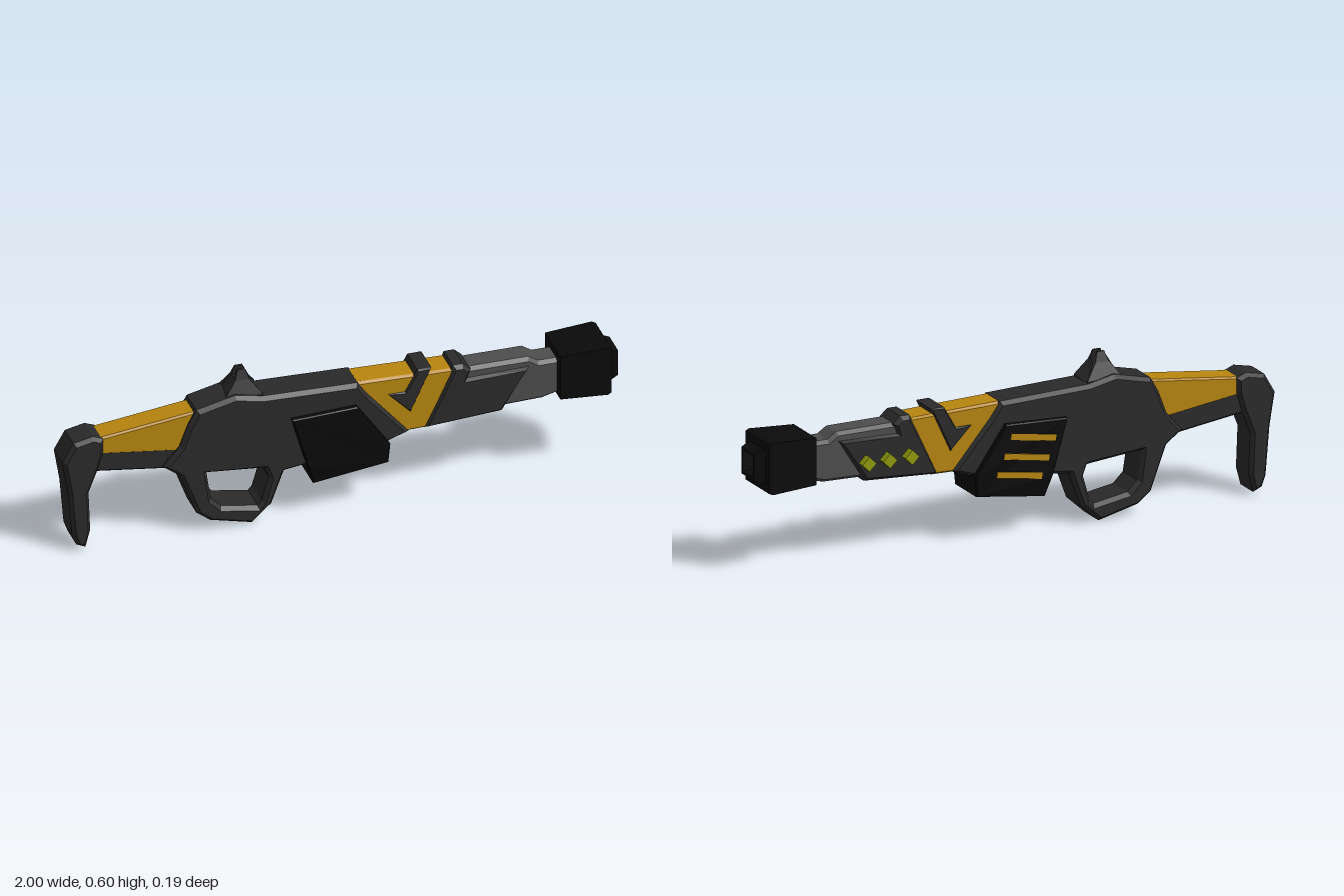
import * as THREE from 'three';

const mat = (color) => new THREE.MeshStandardMaterial({ color, flatShading: true });

// Side outline (x, y) made into a slab centred on z = 0 with chamfered rims
function slabGeometry(points, half, bevel, hole) {
  const toVec = ([x, y]) => new THREE.Vector2(x, y);
  const shape = new THREE.Shape(points.map(toVec));
  if (hole) shape.holes.push(new THREE.Path(hole.map(toVec)));
  const thick = bevel * 1.3;
  const geo = new THREE.ExtrudeGeometry(shape, {
    depth: 2 * (half - thick), bevelEnabled: bevel > 0, bevelSegments: 1,
    bevelThickness: thick, bevelSize: bevel, bevelOffset: -bevel,
  });
  return geo.translate(0, 0, thick - half);
}

export function createModel() {
  const model = new THREE.Group();
  model.name = 'rifle';
  const dark = mat(0x2a2a2a), black = mat(0x0a0a0a), gold = mat(0xb8860f);
  const grey = mat(0x4d4d4d), lime = mat(0x8f9a0c);

  const add = (name, geo, material) => {
    const mesh = new THREE.Mesh(geo, material);
    mesh.name = name;
    model.add(mesh);
    return mesh;
  };
  const slab = (name, material, half, bevel, points, hole) =>
    add(name, slabGeometry(points, half, bevel, hole), material);

  // Shoulder stock
  slab('buttPad', dark, 0.063, 0.012, [
    [-1, 0.36], [-0.98, 0.24], [-0.965, 0.065], [-0.95, 0.025], [-0.917, 0.01], [-0.9, 0.075],
    [-0.906, 0.225], [-0.875, 0.305], [-0.853, 0.38], [-0.853, 0.43], [-0.89, 0.445], [-0.96, 0.43]]);
  slab('stockCover', gold, 0.048, 0.006, [
    [-0.88, 0.37], [-0.55, 0.325], [-0.5, 0.36], [-0.5, 0.477], [-0.88, 0.43]]);
  slab('stockBar', dark, 0.046, 0.008, [
    [-0.89, 0.3], [-0.6, 0.26], [-0.55, 0.34], [-0.89, 0.39]]);

  // Receiver with the grip loop
  slab('receiver', dark, 0.07, 0.013, [
    [-0.64, 0.28], [-0.58, 0.235], [-0.52, 0.075], [-0.47, 0.037], [-0.32, 0], [-0.25, 0.064],
    [-0.205, 0.187], [0.17, 0.235], [0.245, 0.262], [0.1, 0.433], [0.06, 0.487], [-0.28, 0.497],
    [-0.38, 0.518], [-0.52, 0.485], [-0.55, 0.43], [-0.58, 0.35]],
  [[-0.484, 0.23], [-0.468, 0.123], [-0.43, 0.086], [-0.3, 0.064], [-0.286, 0.08],
    [-0.26, 0.17], [-0.275, 0.21]]);

  // Magazine block, its sides drawn in towards the bottom
  const magazine = slabGeometry([
    [-0.185, 0.4], [-0.157, 0.3], [-0.128, 0.2], [-0.105, 0.125], [0.163, 0.165],
    [0.168, 0.24], [0.05, 0.41]], 0.09, 0.004);
  const mp = magazine.attributes.position;
  for (let i = 0; i < mp.count; i++) {
    const drop = THREE.MathUtils.clamp((0.19 - mp.getY(i)) / 0.06, 0, 1);
    mp.setZ(i, mp.getZ(i) * (1 - 0.18 * drop));
  }
  magazine.computeVertexNormals();
  add('magazine', magazine, black);

  // Three stripes on the back of the magazine
  for (const [x, y] of [[-0.051, 0.352], [-0.025, 0.284], [0.002, 0.222]]) {
    const stripe = add('magazineStripe', new THREE.BoxGeometry(0.175, 0.022, 0.006), gold);
    stripe.position.set(x, y, -0.09);
    stripe.rotation.z = 0.16;
  }

  // Forked sight: cross-section in z and y, narrowed along x as it rises
  const half = [[0.05, 0.49], [0.05, 0.505], [0.029, 0.56], [0.018, 0.595], [0.009, 0.595], [0.014, 0.56]];
  const fork = [...half, ...half.map(([z, y]) => [-z, y]).reverse()];
  const sight = slabGeometry(fork, 0.5, 0).rotateY(Math.PI / 2);
  const sp = sight.attributes.position;
  for (let i = 0; i < sp.count; i++) {
    const y = sp.getY(i);
    const width = y < 0.53 ? 0.135 : y < 0.58 ? 0.05 : 0.028;
    sp.setX(i, -0.347 + sp.getX(i) * width);
  }
  sight.computeVertexNormals();
  add('sight', sight, dark);

  // Front end: gold cover, hooked band, handguard and barrel
  slab('frontCover', gold, 0.055, 0.008, [
    [0.04, 0.44], [0.23, 0.258], [0.32, 0.26], [0.42, 0.476], [0.04, 0.487]]);
  slab('hookedBand', dark, 0.062, 0.005, [
    [0.275, 0.5], [0.23, 0.42], [0.17, 0.42], [0.25, 0.337], [0.325, 0.5]]);
  slab('handguard', dark, 0.066, 0.013, [
    [0.404, 0.49], [0.297, 0.262], [0.58, 0.278], [0.68, 0.438], [0.457, 0.433],
    [0.468, 0.465], [0.44, 0.49]]);
  slab('barrel', grey, 0.052, 0.012, [
    [0.43, 0.468], [0.43, 0.31], [0.58, 0.29], [0.73, 0.294], [0.79, 0.31], [0.79, 0.444],
    [0.715, 0.444], [0.68, 0.467]]);

  // Diamond studs on the back of the handguard
  for (const x of [0.415, 0.5, 0.58]) {
    const stud = add('stud', new THREE.BoxGeometry(0.038, 0.038, 0.04), lime);
    stud.position.set(x, 0.35, -0.075);
    stud.rotation.z = Math.PI / 4;
  }

  // Square muzzle with a recessed mouth: a four-sided lathe laid along x
  const profile = [[0.78, 0], [0.78, 0.085], [0.95, 0.093], [0.963, 0.088], [0.963, 0.06],
    [1, 0.048], [1, 0.038], [0.93, 0.032], [0.93, 0]];
  const muzzle = new THREE.LatheGeometry(
    profile.map(([x, r]) => new THREE.Vector2(r * Math.SQRT2, x)), 4, Math.PI / 4);
  muzzle.rotateZ(-Math.PI / 2);
  add('muzzle', muzzle, black).position.y = 0.388;

  return model;
}
